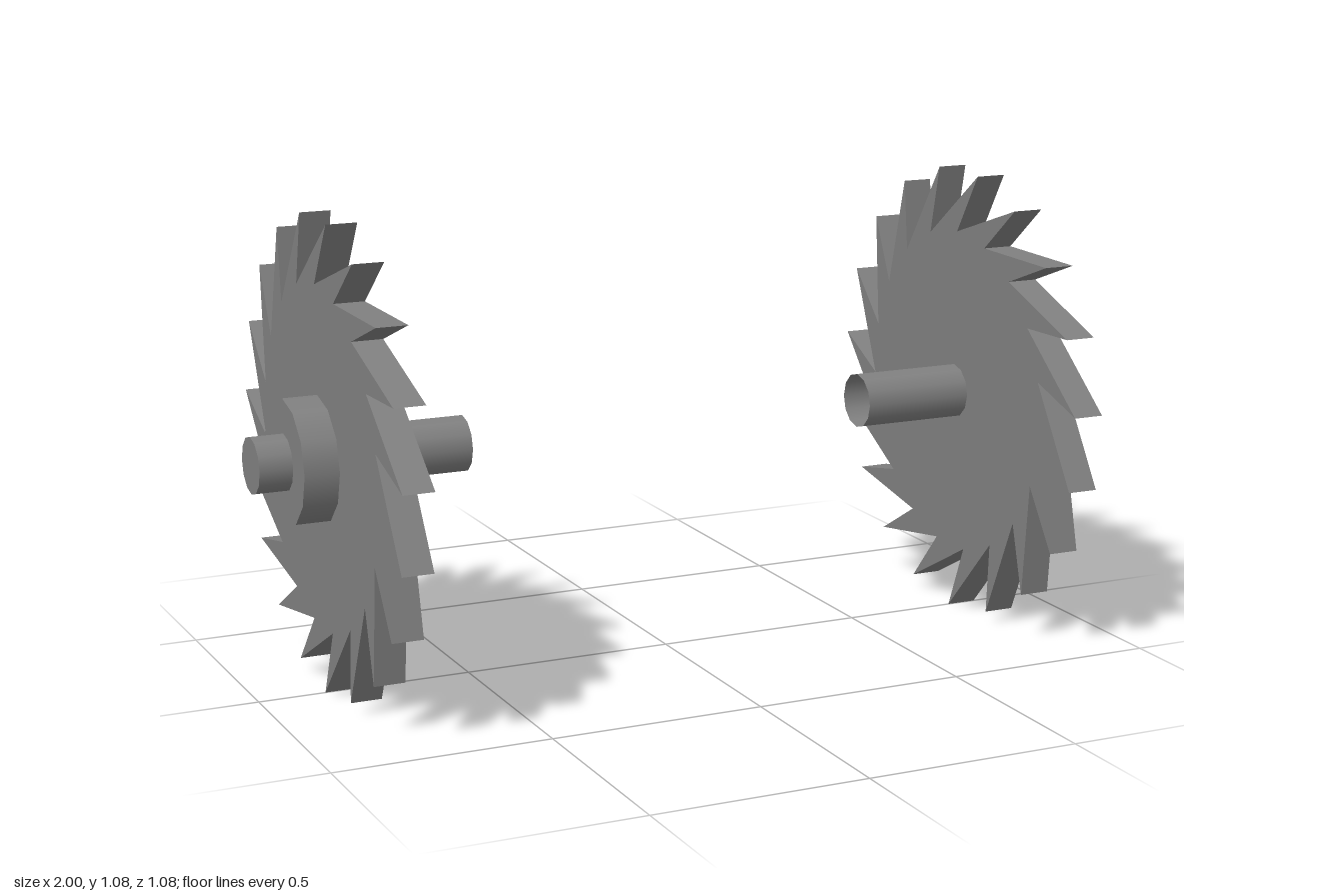
import * as THREE from 'three';

const TEETH = 19;
const AXIS_Y = 0.546;

// Ratchet-like saw outline: each tip leans back over the previous valley
function bladeShape(tipR, valleyR) {
  const step = (Math.PI * 2) / TEETH;
  const at = (k, r) => new THREE.Vector2(r * Math.sin(k * step), r * Math.cos(k * step));
  const points = [];
  for (let k = 0; k < TEETH; k++) points.push(at(k, valleyR), at(k - 0.5, tipR));
  return new THREE.Shape(points);
}

// Cylinder along x between two positions
function rod(radius, x0, x1, open) {
  const g = new THREE.CylinderGeometry(radius, radius, Math.abs(x1 - x0), 12, 1, open);
  g.rotateZ(Math.PI / 2);
  g.translate((x0 + x1) / 2, 0, 0);
  return g;
}

export function createModel() {
  const model = new THREE.Group();
  model.name = 'sawBladePair';
  const steel = new THREE.MeshStandardMaterial({ color: 0x808080, side: THREE.DoubleSide });
  steel.name = 'grey steel';

  const add = (parent, name, geometry) => {
    const mesh = new THREE.Mesh(geometry, steel);
    mesh.name = name;
    parent.add(mesh);
  };

  for (const side of [1, -1]) {
    const wheel = new THREE.Group();
    wheel.name = side > 0 ? 'leftWheel' : 'rightWheel';
    wheel.position.y = AXIS_Y;

    // Toothed disc, same tooth direction on both sides
    const blade = new THREE.ExtrudeGeometry(bladeShape(0.543, 0.391), { depth: 0.072, bevelEnabled: false });
    blade.translate(0, 0, -0.036);
    blade.rotateY(Math.PI / 2);
    blade.translate(side * 0.808, 0, 0);
    add(wheel, 'blade', blade);

    // Collar on the outer face
    add(wheel, 'hub', rod(0.144, side * 0.844, side * 0.924, false));

    // Axle tube, open at the inner end and capped at the outer end
    add(wheel, 'axle', rod(0.065, side * 0.505, side, true));
    const cap = new THREE.CircleGeometry(0.065, 12);
    cap.rotateY(side * Math.PI / 2);
    cap.translate(side, 0, 0);
    add(wheel, 'axleCap', cap);

    model.add(wheel);
  }
  return model;
}
